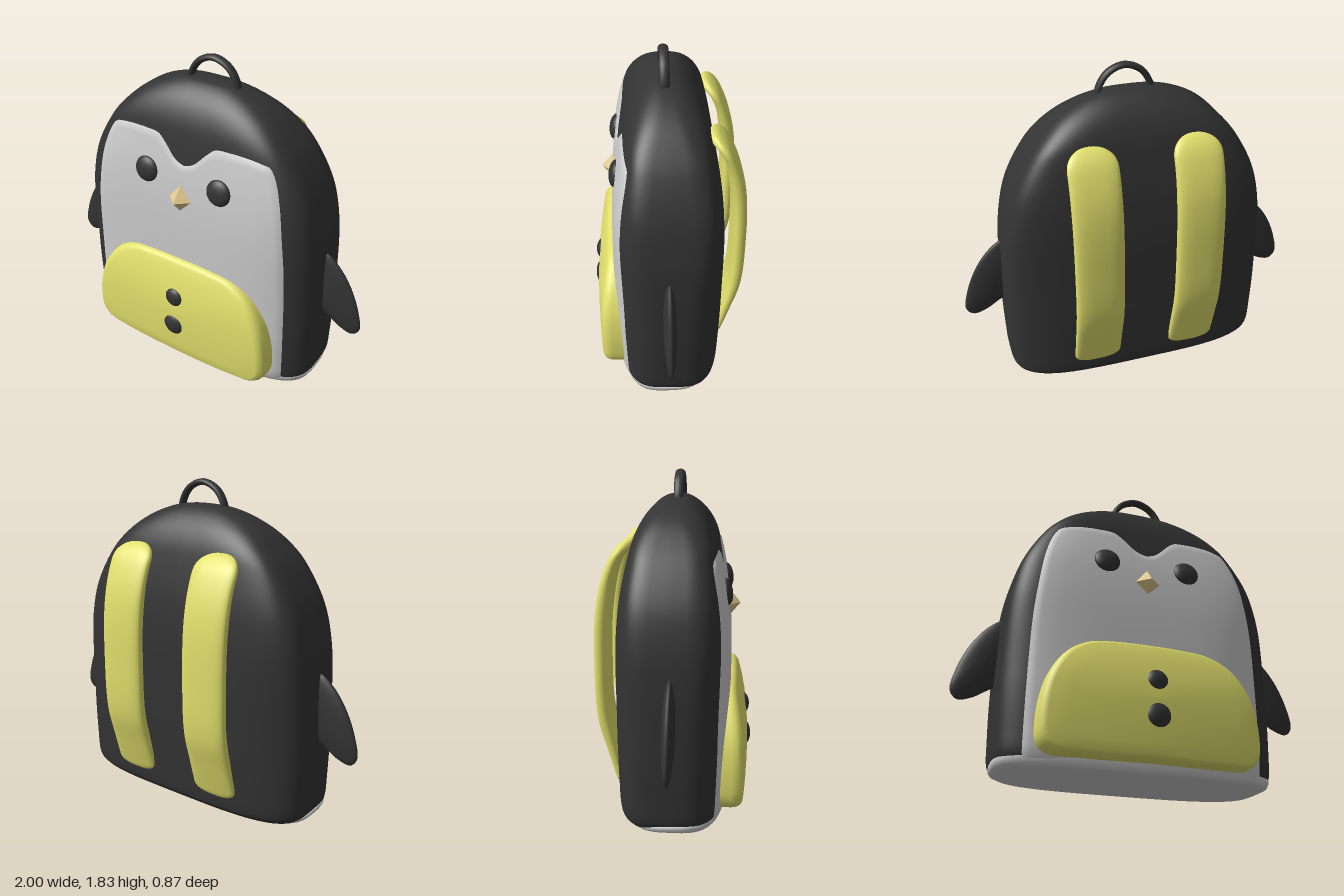
import * as THREE from 'three';

const mat = (color) => new THREE.MeshStandardMaterial({ color, roughness: 0.8 });
const V = (x, y, z) => new THREE.Vector3(x, y, z);
const { smoothstep } = THREE.MathUtils;

// Skin over a list of point rings (closed loops, or open rows)
function loft(rings, closed = true) {
  const m = rings[0].length, pos = [], idx = [];
  for (const r of rings) for (const p of r) pos.push(p.x, p.y, p.z);
  for (let i = 0; i < rings.length - 1; i++) {
    for (let j = 0; j < (closed ? m : m - 1); j++) {
      const k = (j + 1) % m, a = i * m + j, b = i * m + k, c = a + m, d = b + m;
      idx.push(a, b, d, a, d, c);
    }
  }
  const g = new THREE.BufferGeometry();
  g.setAttribute('position', new THREE.Float32BufferAttribute(pos, 3));
  g.setIndex(idx);
  g.computeVertexNormals();
  return g;
}

// Rounded-box loop; calls fn with unit coordinates
function squircle(n, count, fn) {
  const pw = (v) => Math.sign(v) * Math.pow(Math.abs(v), 2 / n);
  return Array.from({ length: count }, (_, i) => {
    const t = (i / count) * Math.PI * 2;
    return fn(pw(Math.sin(t)), pw(Math.cos(t)));
  });
}

// Smooth table of [y, a, b]; returns a lookup by y
function profile(rows) {
  const pts = new THREE.CatmullRomCurve3(rows.map(([y, a, b = 0]) => V(a, y, b))).getPoints(100);
  const at = (y) => {
    let i = 0;
    while (i < pts.length - 2 && pts[i + 1].y < y) i++;
    const t = THREE.MathUtils.clamp((y - pts[i].y) / (pts[i + 1].y - pts[i].y || 1), 0, 1);
    return pts[i].clone().lerp(pts[i + 1], t);
  };
  return { pts, at };
}

const outline = (pts, count) =>
  new THREE.CatmullRomCurve3(pts.map(([x, y]) => V(x, y, 0)), true).getSpacedPoints(count).slice(0, count);

// Body: half width and half depth by height
const body = profile([
  [0.02, 0.735, 0.275], [0.045, 0.758, 0.292], [0.08, 0.77, 0.298], [0.2, 0.776, 0.303], [0.45, 0.78, 0.309],
  [0.8, 0.768, 0.307], [1.0, 0.745, 0.3], [1.2, 0.692, 0.28], [1.4, 0.584, 0.242], [1.5, 0.5, 0.216],
  [1.58, 0.41, 0.178], [1.64, 0.305, 0.13], [1.68, 0.19, 0.078], [1.695, 0.09, 0.035], [1.7, 0, 0],
]);
const power = (y) => 3.6 + 1.3 * smoothstep(y, 0.5, 1.35) - 2.1 * smoothstep(y, 1.42, 1.7);
const frontZ = (x, y) => {
  const p = body.at(y), n = power(y);
  return p.z * Math.pow(Math.max(0, 1 - Math.pow(Math.abs(x) / p.x, n)), 1 / n);
};

function bodyGeometry() {
  return loft(body.pts.map((p) => squircle(power(p.y), 80, (u, v) => V(u * p.x, p.y, v * p.z))));
}

// Pale base set slightly forward, its upper rim rising toward the front
function baseGeometry() {
  const rows = [[0, 0, 0], [0.88, 0, 0], [0.94, 0.004, 0], [0.985, 0.018, 0], [1, 0.038, 0.03], [0.998, 0.058, 0.08], [0.93, 0.062, 0.08]];
  return loft(rows.map(([s, y, tilt]) =>
    squircle(3.3, 80, (u, v) => V(u * s * 0.766, y + tilt * v * 0.3, 0.016 + v * s * 0.285))));
}

// Face and belly panel, draped on the body with a notched top
function panelGeometry() {
  const top = profile([[0, 1.29], [0.1, 1.31], [0.25, 1.385], [0.37, 1.425], [0.55, 1.435], [0.85, 1.43], [1, 1.41]]);
  const edge = profile([[0, 0.66], [0.4, 0.66], [0.8, 0.648], [1.0, 0.628], [1.2, 0.595], [1.34, 0.548], [1.4, 0.505], [1.45, 0.42]]);
  const rows = [], N = 48;
  for (let i = 0; i <= N; i++) {
    const row = [];
    for (let j = 0; j <= N; j++) {
      const u = (j / N) * 2 - 1;
      const y = 0.04 + (i / N) * (top.at(Math.abs(u)).x - 0.04);
      const x = u * edge.at(y).x;
      const rim = i === N || j === 0 || j === N;
      row.push(V(x, y, frontZ(x, y) + (rim ? -0.006 : 0.007)));
    }
    rows.push(row);
  }
  return loft(rows, false);
}

// Pocket: outline shrunk in rings over a bulging front
function pocketGeometry() {
  const half = [[0.4, 0.05], [0.54, 0.062], [0.59, 0.11], [0.6, 0.2], [0.588, 0.34], [0.55, 0.47], [0.46, 0.6], [0.34, 0.67], [0.2, 0.688]];
  const loop = outline([[0, 0.05], ...half, [0, 0.692], ...half.map(([x, y]) => [-x, y]).reverse()], 96);
  const front = profile([[0.05, 0.41], [0.2, 0.418], [0.38, 0.415], [0.5, 0.401], [0.6, 0.376], [0.69, 0.345]]);
  const steps = [[1, -0.2], [1, 0.5], [0.992, 0.74], [0.97, 0.91], [0.93, 1], [0.75, 1], [0.5, 1], [0.25, 1], [0, 1]];
  return loft(steps.map(([s, k]) => loop.map((p) => {
    const x = p.x * s, y = 0.36 + (p.y - 0.36) * s;
    const f = front.at(y).x - 0.03 * (x / 0.6) ** 2;
    return V(x, y, 0.27 + (f - 0.27) * k);
  })));
}

// Flipper: lens-shaped fin
function flipperGeometry() {
  const loop = outline([[0.7, 0.5], [0.8, 0.45], [0.88, 0.4], [0.96, 0.38], [1.0, 0.425], [0.982, 0.54], [0.92, 0.69], [0.84, 0.8], [0.76, 0.86], [0.7, 0.86]], 64);
  const rings = [];
  for (let i = 0; i <= 16; i++) {
    const t = (i / 16) * Math.PI, s = Math.sin(t);
    rings.push(loop.map((p) => V(0.82 + (p.x - 0.82) * s, 0.62 + (p.y - 0.62) * s, 0.015 - 0.034 * Math.cos(t))));
  }
  return loft(rings);
}

// Shoulder strap: flat padded band with rounded ends, bowed off the back
function strapGeometry() {
  const path = new THREE.CatmullRomCurve3([
    V(0, 1.48, -0.215), V(0, 1.42, -0.285), V(0, 1.3, -0.34), V(0, 1.1, -0.38), V(0, 0.8, -0.392),
    V(0, 0.52, -0.382), V(0, 0.32, -0.335), V(0, 0.11, -0.28),
  ]);
  const X = V(1, 0, 0), N = 64, rings = [];
  const round = (e, len) => Math.sqrt(1 - (1 - Math.min(1, e / len)) ** 2);
  for (let i = 0; i <= N; i++) {
    const t = (1 - Math.cos((i / N) * Math.PI)) / 2, c = path.getPointAt(t);
    const n = path.getTangentAt(t).cross(X);
    const e = Math.min(t, 1 - t);
    const w = 0.138 * round(e, t < 0.5 ? 0.09 : 0.04);
    const h = (0.026 + 0.015 * Math.min(1, e / 0.25)) * round(e, 0.03);
    rings.push(squircle(2.8, 32, (u, v) => c.clone().addScaledVector(X, v * w).addScaledVector(n, u * h)));
  }
  return loft(rings);
}

export function createModel() {
  const group = new THREE.Group();
  const dark = mat(0x333333), pale = mat(0xcccccc), yellow = mat(0xe2e06c), tan = mat(0xdfc88e);
  const add = (name, geo, material, x = 0, y = 0, z = 0) => {
    const mesh = new THREE.Mesh(geo, material);
    mesh.name = name;
    mesh.position.set(x, y, z);
    group.add(mesh);
    return mesh;
  };

  add('body', bodyGeometry(), dark);
  add('base', baseGeometry(), pale);
  add('facePanel', panelGeometry(), pale);
  add('pocket', pocketGeometry(), yellow);

  // Eyes, beak and buttons
  const ball = new THREE.SphereGeometry(1, 32, 20);
  for (const [name, x, y, z, r] of [
    ['rightEye', -0.24, 1.195, 0.283, 0.075], ['leftEye', 0.235, 1.195, 0.283, 0.075],
    ['upperButton', 0.006, 0.463, 0.39, 0.062], ['lowerButton', 0.006, 0.272, 0.402, 0.071],
  ]) {
    const dot = add(name, ball, dark, x, y, z);
    dot.scale.set(r, r, 0.035);
    dot.rotation.x = y > 1 ? -0.15 : 0;
  }
  add('beak', new THREE.OctahedronGeometry(1), tan, -0.006, 1.082, 0.295).scale.set(0.077, 0.083, 0.068);

  // Mirrored flippers and straps
  const flipper = flipperGeometry(), strap = strapGeometry();
  for (const [side, s] of [['left', 1], ['right', -1]]) {
    add(side + 'Flipper', flipper, dark).scale.x = s;
    add(side + 'Strap', strap, yellow, s * 0.29);
  }

  // Carrying loop
  const arch = new THREE.CatmullRomCurve3([
    V(-0.13, 1.64, 0), V(-0.115, 1.71, 0), V(-0.065, 1.78, 0), V(0.025, 1.814, 0),
    V(0.115, 1.78, 0), V(0.165, 1.71, 0), V(0.18, 1.64, 0),
  ]);
  add('topHandle', new THREE.TubeGeometry(arch, 40, 0.018, 14), dark, 0, 0, 0.013).scale.z = 1.5;
  return group;
}
